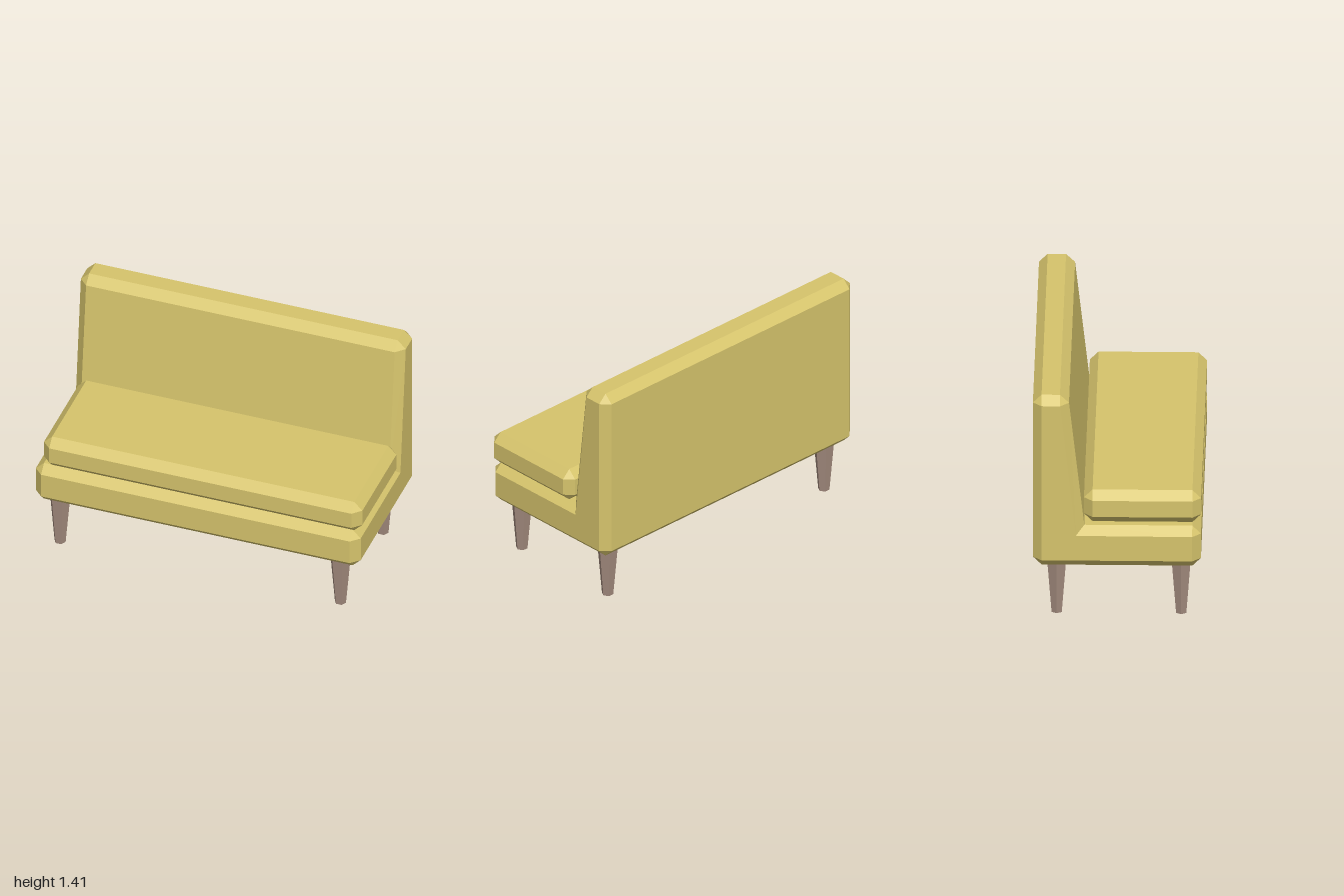
import * as THREE from 'three';

// Joins a side profile [z, y] across x, with chamfered ends closing on an inset profile.
function chamferedBlock(outer, inset, x0, x1, chamfer) {
  const rings = [
    [x0, inset], [x0 + chamfer, outer], [x1 - chamfer, outer], [x1, inset],
  ].map(([x, profile]) => profile.map(([z, y]) => new THREE.Vector3(x, y, z)));
  const positions = [];
  const n = new THREE.Vector3();
  const triangle = (a, b, c) => {
    if (new THREE.Triangle(a, b, c).getArea() < 1e-7) return;
    for (const p of [a, b, c]) positions.push(p.x, p.y, p.z);
  };
  const count = outer.length;
  for (let r = 0; r < 3; r++) {
    for (let i = 0; i < count; i++) {
      const j = (i + 1) % count;
      const a = rings[r], b = rings[r + 1];
      triangle(a[i], b[i], b[j]);
      triangle(a[i], b[j], a[j]);
    }
  }
  // Flat end faces
  const contour = inset.map(([z, y]) => new THREE.Vector2(z, y));
  for (const [i, j, k] of THREE.ShapeUtils.triangulateShape(contour, [])) {
    for (const [ring, side] of [[rings[0], -1], [rings[3], 1]]) {
      THREE.Triangle.getNormal(ring[i], ring[j], ring[k], n);
      if (n.x * side > 0) triangle(ring[i], ring[j], ring[k]);
      else triangle(ring[i], ring[k], ring[j]);
    }
  }
  const geometry = new THREE.BufferGeometry();
  geometry.setAttribute('position', new THREE.Float32BufferAttribute(positions, 3));
  geometry.computeVertexNormals();
  return geometry;
}

export function createModel() {
  const group = new THREE.Group();
  group.name = 'bench';
  const fabric = new THREE.MeshStandardMaterial({ name: 'mustard fabric', color: 0xd6c46c });
  const wood = new THREE.MeshStandardMaterial({ name: 'brown wood', color: 0xa38b7e });
  const add = (name, geometry, material) => {
    const mesh = new THREE.Mesh(geometry, material);
    mesh.name = name;
    group.add(mesh);
    return mesh;
  };

  // Seat base and tapered backrest in one L-shaped block
  const bodyOuter = [
    [0.435, 0.33], [0.485, 0.38], [0.485, 0.535], [0.435, 0.585],
    [-0.187, 0.585],
    [-0.275, 1.362], [-0.327, 1.412], [-0.433, 1.412], [-0.483, 1.362],
    [-0.483, 0.38], [-0.433, 0.33],
  ];
  const bodyInset = [
    [0.435, 0.38], [0.435, 0.38], [0.435, 0.535], [0.435, 0.535],
    [-0.235, 0.537],
    [-0.325, 1.362], [-0.325, 1.362], [-0.433, 1.362], [-0.433, 1.362],
    [-0.433, 0.38], [-0.433, 0.38],
  ];
  add('seatAndBack', chamferedBlock(bodyOuter, bodyInset, -1, 0.99, 0.05), fabric);

  // Seat cushion
  const [front, back, low, high, c] = [0.485, -0.19, 0.585, 0.787, 0.05];
  const cushionOuter = [
    [front - c, low], [front, low + c], [front, high - c], [front - c, high],
    [back + c, high], [back, high - c], [back, low + c], [back + c, low],
  ];
  const cushionInset = cushionOuter.map(([z, y]) => [
    THREE.MathUtils.clamp(z, back + c, front - c),
    THREE.MathUtils.clamp(y, low + c, high - c),
  ]);
  add('seatCushion', chamferedBlock(cushionOuter, cushionInset, -0.95, 1, c), fabric);

  // Four tapered six-sided legs
  const legGeometry = new THREE.CylinderGeometry(0.0625, 0.034, 0.332, 6)
    .rotateY(Math.PI / 2).toNonIndexed();
  legGeometry.computeVertexNormals();
  for (const [side, x] of [['Right', -0.875], ['Left', 0.842]]) {
    for (const [end, z] of [['front', 0.37], ['back', -0.347]]) {
      add(`${end}${side}Leg`, legGeometry, wood).position.set(x, 0.166, z);
    }
  }
  return group;
}
